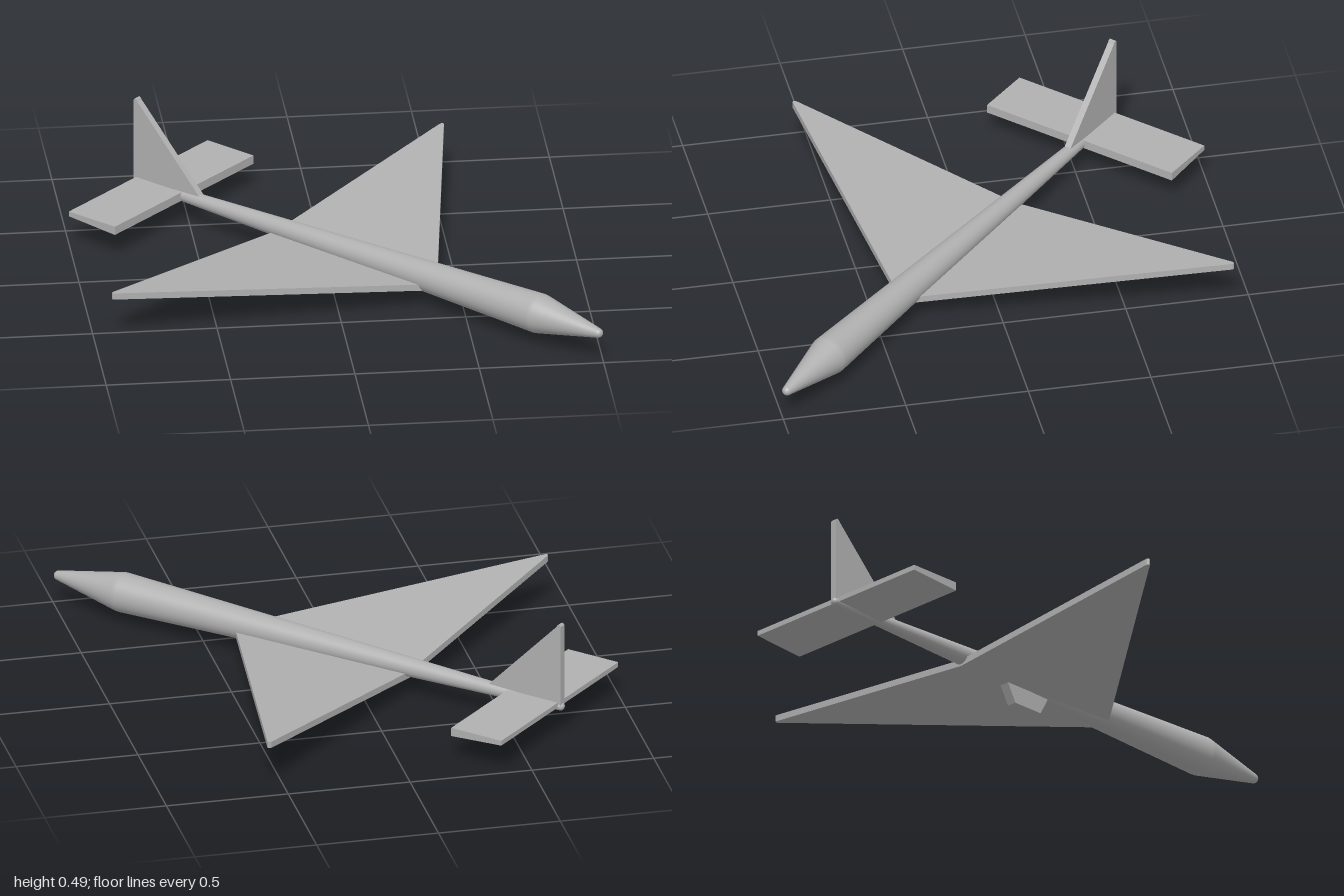
import * as THREE from 'three';

export function createModel() {
  const grey = new THREE.MeshStandardMaterial({ color: 0xb0b0b0 });
  grey.name = 'plain grey';

  // Built with the nose along +z, then turned 45 degrees at the end.
  const plane = new THREE.Group();
  plane.name = 'glider';

  const add = (name, geometry) => {
    const mesh = new THREE.Mesh(geometry, grey);
    mesh.name = name;
    plane.add(mesh);
  };
  const extrude = (points, depth) => new THREE.ExtrudeGeometry(
    new THREE.Shape(points.map(([x, y]) => new THREE.Vector2(x, y))),
    { depth, bevelEnabled: false });

  // Side profile of [z, y] points given a width across x
  const slab = (points, width) => extrude(points, width)
    .translate(0, 0, -width / 2)
    .rotateY(-Math.PI / 2);

  // Fuselage: long taper, shoulder, cone and rounded ends
  const axisY = 0.123;
  const profile = [];
  const arc = (z, r, from, to, steps) => {
    for (let i = 0; i <= steps; i++) {
      const a = from + (to - from) * i / steps;
      profile.push(new THREE.Vector2(Math.max(0, r * Math.cos(a)), z + r * Math.sin(a)));
    }
  };
  arc(-0.975, 0.018, -Math.PI / 2, -0.03, 6);
  profile.push(new THREE.Vector2(0.049, 0.05));
  arc(1.08, 0.081, -0.03, 0.2, 3);
  profile.push(new THREE.Vector2(0.0765, 1.111));
  arc(1.386, 0.02, 0.2, Math.PI / 2, 6);
  add('fuselage', new THREE.LatheGeometry(profile, 40).rotateX(Math.PI / 2).translate(0, axisY, 0));

  // Delta wing halves, raised towards the tips
  const wingTop = 0.102, wingThickness = 0.027, dihedral = 0.096;
  const halfWing = [[0, 0.56], [1.043, -0.243], [1.053, -0.25], [1.055, -0.257],
    [1.05, -0.263], [1.04, -0.265], [0, -0.265]];
  for (const side of [1, -1]) {
    const geometry = extrude(halfWing.map(([x, z]) => [x * side, z]), wingThickness)
      .rotateX(Math.PI / 2);
    const p = geometry.attributes.position;
    for (let i = 0; i < p.count; i++) {
      p.setY(i, p.getY(i) + wingTop + Math.abs(p.getX(i)) * dihedral);
    }
    geometry.computeVertexNormals();
    add(side > 0 ? 'leftWing' : 'rightWing', geometry);
  }

  // Tailplane, thinner at its trailing edge
  add('tailplane', slab([[-0.972, 0.121], [-0.736, 0.106], [-0.736, 0.142], [-0.972, 0.142]], 0.885));

  // Upright fin with a small rounded tip
  add('fin', slab([[-0.985, 0.12], [-0.622, 0.12], [-0.964, 0.473], [-0.97, 0.482],
    [-0.978, 0.485], [-0.985, 0.478]], 0.028));

  // Grip under the belly
  add('bellyGrip', slab([[0.021, 0], [0.163, 0], [0.21, 0.085], [-0.026, 0.085]], 0.042));

  plane.rotation.y = Math.PI / 4;
  const model = new THREE.Group();
  model.name = 'model';
  model.add(plane);
  return model;
}
